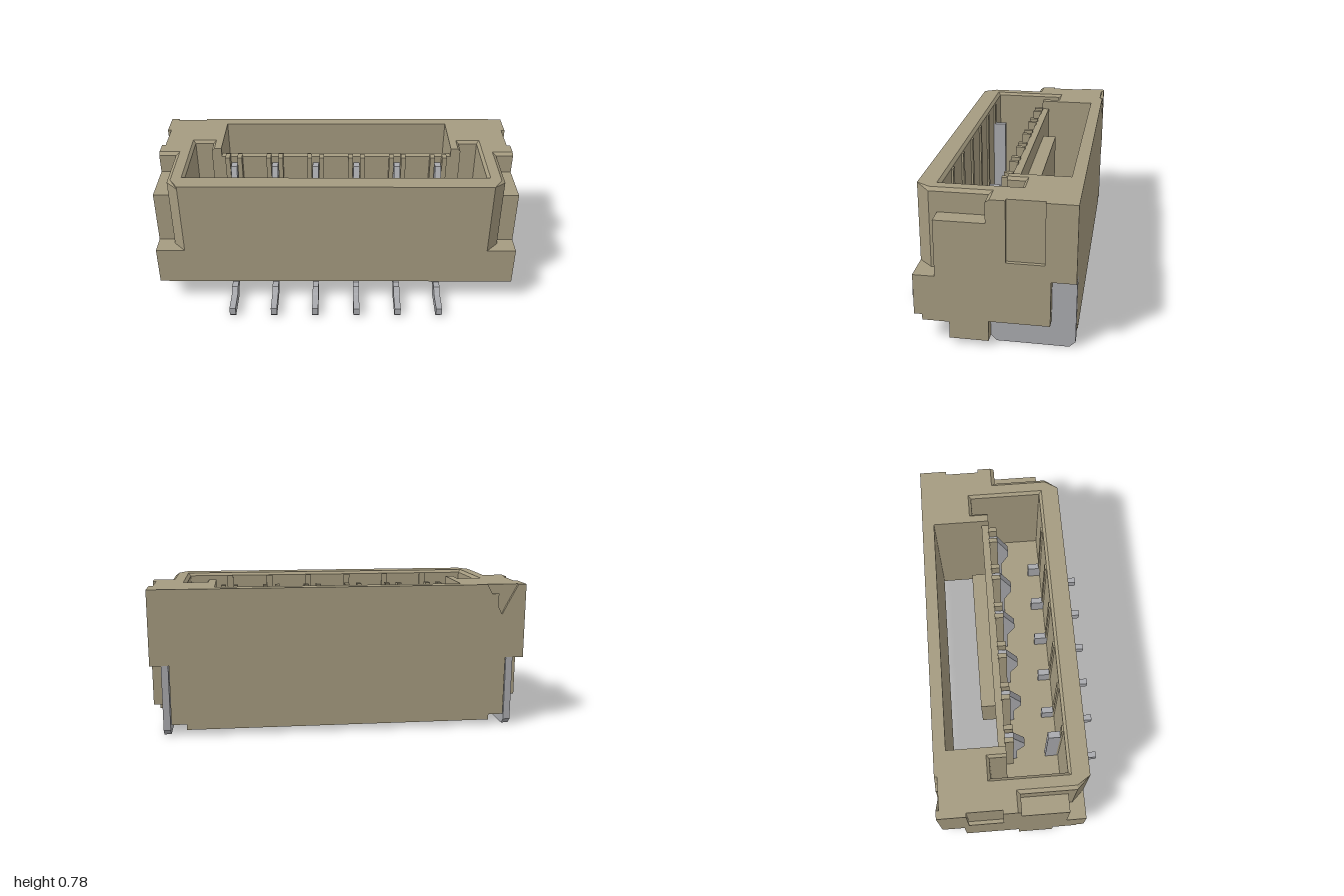
import * as THREE from 'three';
import { mergeGeometries } from 'three/addons/utils/BufferGeometryUtils.js';

const plastic = new THREE.MeshStandardMaterial({ color: 0xa59b80 });
plastic.name = 'tan plastic';
const metal = new THREE.MeshStandardMaterial({ color: 0xa9aaae });
metal.name = 'grey metal';

const mirror = (half) => [...half, ...half.map(([x, z]) => [-x, z]).reverse()];

// Outer plan of the housing at height y, for the layer whose middle is m
function outline(y, m) {
  const half = [];
  const front = m < 0.12 ? 0.155 : m < 0.15 ? 0.29 : 0.33;
  const top = y > 0.77;
  if (m < 0.365) half.push([1, front]);
  else {
    const side = top ? 0.885 : 0.905;
    const ear = m < 0.66 ? 0.22 : top ? -0.05 : -0.03;
    half.push([0.84, 0.33], [side, 0.26], [side, ear], [1, ear]);
  }
  if (m > 0.465) half.push([1, -0.125], [0.98, -0.125], [0.98, -0.31], [1, -0.31]);
  if (m < 0.38) {
    const x = m < 0.06 ? 0.82 : 0.9;
    const z = m < 0.14 ? -0.04 : -0.34;
    half.push([1, z], [x, z], [x, -0.46]);
  } else half.push([1, -0.46]);
  const points = mirror(half);
  // Triangular position mark on the back
  if (m > 0.62) {
    const h = Math.max(0.002, 0.085 * (y - 0.62) / 0.16);
    const c = -0.873;
    points.splice(half.length, 0, [c + h, -0.46], [c + h, -0.445], [c - h, -0.445], [c - h, -0.46]);
  }
  return points;
}

// Openings in the plan: rear pocket and front cavity, joined above the divider
function openings(y, m) {
  const e = y > 0.77 ? 0.015 : 0;
  const cavity = [[0.815 + e, 0.22 + e], [0.815 + e, -0.175 - e], [0.71 - e, -0.175 - e], [0.71 - e, -0.085]];
  const pocket = [[0.655, -0.125], [0.655, -0.395]];
  if (m < 0.2) return [mirror(pocket)];
  if (m < 0.73) return [mirror(pocket), mirror(cavity)];
  return [mirror([...cavity, [0.655, -0.085], [0.655, -0.395]])];
}

// One layer of the housing, lofted from its lower plan to its upper plan
function layer(y0, y1) {
  const m = (y0 + y1) / 2;
  const low = [outline(y0, m), ...openings(y0, m)];
  const high = [outline(y1, m), ...openings(y1, m)].flat();
  const toPoints = (loop) => loop.map(([x, z]) => new THREE.Vector2(x, -z));
  const shape = new THREE.Shape(toPoints(low[0]));
  low.slice(1).forEach((loop) => shape.holes.push(new THREE.Path(toPoints(loop))));
  const geometry = new THREE.ExtrudeGeometry(shape, { depth: y1 - y0, bevelEnabled: false });
  geometry.rotateX(-Math.PI / 2);
  const key = (x, z) => `${Math.round(x * 1e4)},${Math.round(z * 1e4)}`;
  const target = new Map(low.flat().map(([x, z], i) => [key(x, z), high[i]]));
  const p = geometry.attributes.position;
  for (let i = 0; i < p.count; i++) {
    if (p.getY(i) < (y1 - y0) / 2) continue;
    const to = target.get(key(p.getX(i), p.getZ(i)));
    if (to) { p.setX(i, to[0]); p.setZ(i, to[1]); }
  }
  geometry.translate(0, y0, 0);
  geometry.computeVertexNormals();
  return geometry;
}

// Plate with a side profile of (z, y) points and a width along x
function sidePlate(name, profile, width, x, material) {
  const shape = new THREE.Shape(profile.map(([z, y]) => new THREE.Vector2(z, y)));
  const geometry = new THREE.ExtrudeGeometry(shape, { depth: width, bevelEnabled: false });
  geometry.translate(0, 0, -width / 2).rotateY(-Math.PI / 2);
  const mesh = new THREE.Mesh(geometry, material);
  mesh.name = name;
  mesh.position.x = x;
  return mesh;
}

// Box given by its limits
function block(name, x0, x1, y0, y1, z0, z1, material) {
  const mesh = new THREE.Mesh(new THREE.BoxGeometry(x1 - x0, y1 - y0, z1 - z0), material);
  mesh.position.set((x0 + x1) / 2, (y0 + y1) / 2, (z0 + z1) / 2);
  mesh.name = name;
  return mesh;
}

export function createModel() {
  const model = new THREE.Group();
  model.name = 'boardConnector';

  // Housing
  const levels = [0.03, 0.06, 0.12, 0.14, 0.15, 0.2, 0.365, 0.38, 0.465, 0.62, 0.66, 0.73, 0.765, 0.78];
  const layers = levels.slice(1).map((y, i) => layer(levels[i], y));
  const housing = new THREE.Mesh(mergeGeometries(layers), plastic);
  housing.name = 'housing';
  model.add(housing);

  // Ledge behind the divider
  model.add(block('pocketLedge', -0.395, 0.395, 0.35, 0.63, -0.2, -0.125, plastic));

  // Solder tabs at the rear corners
  const tab = [[-0.07, 0], [-0.43, 0], [-0.46, 0.03], [-0.46, 0.38], [-0.34, 0.38],
    [-0.34, 0.14], [-0.04, 0.14], [-0.04, 0.03]];
  for (const s of [-1, 1]) model.add(sidePlate('solderTab', tab, 0.037, s * 0.923, metal));

  // Contacts with their guide ribs
  const leg = [[0.15, 0.05], [0.23, 0.05], [0.275, 0], [0.45, 0], [0.46, 0.012], [0.46, 0.055],
    [0.338, 0.055], [0.325, 0.06], [0.3, 0.085], [0.255, 0.085], [0.246, 0.094], [0.246, 0.122], [0.15, 0.122]];
  const blade = [[-0.085, 0.19], [-0.02, 0.19], [-0.02, 0.4], [0.02, 0.5], [0.02, 0.56],
    [-0.04, 0.69], [-0.085, 0.69]];
  for (let i = 0; i < 6; i++) {
    const x = (i - 2.5) * 0.2332;
    const contact = new THREE.Group();
    contact.name = 'contact';
    contact.add(sidePlate('contactLeg', leg, 0.034, x, metal));
    contact.add(sidePlate('contactBlade', blade, 0.034, x, metal));
    contact.add(block('frontProng', x - 0.017, x + 0.017, 0.19, i === 0 ? 0.64 : 0.3, 0.145, 0.22, metal));
    model.add(contact);
    for (const s of [-1, 1]) {
      const c = x + s * 0.034;
      model.add(block('guideRib', c - 0.013, c + 0.013, 0.19, 0.745, -0.09, -0.042, plastic));
    }
    model.add(block('wallRail', x - 0.017, x + 0.017, 0.19, 0.764, 0.21, 0.222, plastic));
  }
  return model;
}
